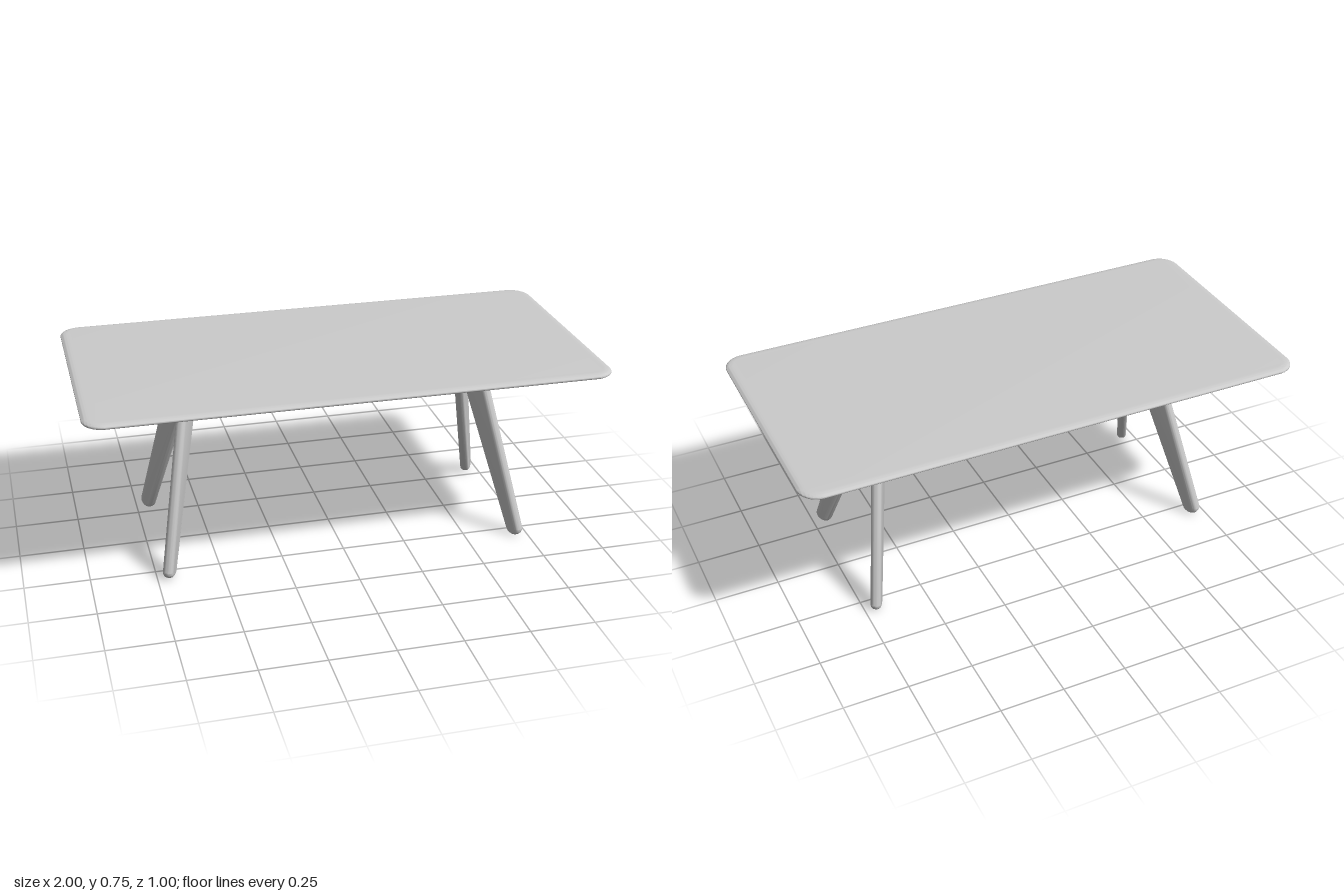
import * as THREE from 'three';
import { mergeVertices, toCreasedNormals } from 'three/addons/utils/BufferGeometryUtils.js';

const material = new THREE.MeshStandardMaterial({ color: 0xcccccc });
const TOP_Y = 0.752, TOP_THICK = 0.022; // table top
const PLATE = 0.04, ROUND = 0.017;      // leg and beam thickness, edge rounding
const HUB_X = 0.527;                    // where beam and two legs meet
const SPLAY = Math.PI / 3;              // legs leave the hub at 60 degrees

function smooth(geometry, crease) {
  geometry.deleteAttribute('uv');
  geometry.deleteAttribute('normal');
  return toCreasedNormals(mergeVertices(geometry, 1e-5), crease);
}

function addMesh(parent, geometry, name) {
  const mesh = new THREE.Mesh(geometry, material);
  mesh.name = name;
  parent.add(mesh);
  return mesh;
}

// Thin slab with rounded corners and an elliptical bullnose edge
function tableTopGeometry() {
  const x = 1, z = 0.5, r = 0.08;
  const s = new THREE.Shape();
  s.absarc(x - r, z - r, r, 0, Math.PI / 2);
  s.absarc(-x + r, z - r, r, Math.PI / 2, Math.PI);
  s.absarc(-x + r, -z + r, r, Math.PI, Math.PI * 1.5);
  s.absarc(x - r, -z + r, r, Math.PI * 1.5, Math.PI * 2);
  const depth = 0.002, bevel = (TOP_THICK - depth) / 2;
  const g = new THREE.ExtrudeGeometry(s, {
    depth, curveSegments: 12, bevelThickness: bevel,
    bevelSize: 0.03, bevelOffset: -0.03, bevelSegments: 8,
  });
  g.rotateX(-Math.PI / 2);
  g.translate(0, TOP_Y - bevel - depth, 0);
  return smooth(g, 0.6);
}

// Side outline of a leg with its support arm; runs past the hub and the top,
// where it is trimmed afterwards
function legOutline() {
  const s = new THREE.Shape();
  s.moveTo(-0.1, 0.61);
  s.lineTo(0.02, 0.61);
  s.quadraticCurveTo(0.037, 0.61, 0.046, 0.588);
  s.lineTo(0.272, 0.019);
  s.absarc(0.3, 0.03, 0.03, -2.763, 0.311, false); // foot
  s.lineTo(0.142, 0.62);
  s.quadraticCurveTo(0.1345, 0.643, 0.155, 0.65);
  s.lineTo(0.305, 0.697);
  s.quadraticCurveTo(0.331, 0.705, 0.331, 0.73);
  s.lineTo(0.331, 0.78);
  s.lineTo(-0.1, 0.78);
  const points = s.getPoints(12).map((p) => new THREE.Vector2(p.x / Math.sin(SPLAY), p.y));
  return new THREE.Shape(points);
}

function legGeometry(sx, sz) {
  const depth = PLATE - 2 * ROUND;
  const g = new THREE.ExtrudeGeometry(legOutline(), {
    depth, bevelThickness: ROUND, bevelSize: ROUND, bevelOffset: -ROUND, bevelSegments: 5,
  });
  g.translate(0, 0, -depth / 2);
  // Trim to the mitre plane at the hub and to the underside of the top
  const p = g.attributes.position;
  for (let i = 0; i < p.count; i++) {
    const mitre = -sx * sz * p.getZ(i) / Math.tan(SPLAY);
    p.setX(i, Math.max(p.getX(i), mitre));
    p.setY(i, Math.min(p.getY(i), 0.736));
  }
  g.rotateY(Math.atan2(-sz * Math.sin(SPLAY), sx * Math.cos(SPLAY)));
  g.translate(sx * HUB_X, 0, 0);
  return smooth(g, 0.6);
}

// Long rail with rounded lower edges
function beamGeometry() {
  const h = PLATE / 2, r = ROUND, low = 0.61, high = 0.736;
  const s = new THREE.Shape();
  s.moveTo(h, high);
  s.lineTo(-h, high);
  s.absarc(-h + r, low + r, r, Math.PI, Math.PI * 1.5);
  s.absarc(h - r, low + r, r, Math.PI * 1.5, Math.PI * 2);
  const length = 2 * HUB_X;
  const g = new THREE.ExtrudeGeometry(s, { depth: length, curveSegments: 6, bevelEnabled: false });
  g.translate(0, 0, -length / 2);
  g.rotateY(Math.PI / 2);
  return smooth(g, 0.6);
}

export function createModel() {
  const table = new THREE.Group();
  table.name = 'table';
  addMesh(table, tableTopGeometry(), 'tableTop');
  addMesh(table, beamGeometry(), 'beam');
  for (const sx of [1, -1]) {
    for (const sz of [1, -1]) {
      const name = (sz > 0 ? 'front' : 'back') + (sx > 0 ? 'Left' : 'Right') + 'Leg';
      addMesh(table, legGeometry(sx, sz), name);
    }
  }
  return table;
}
